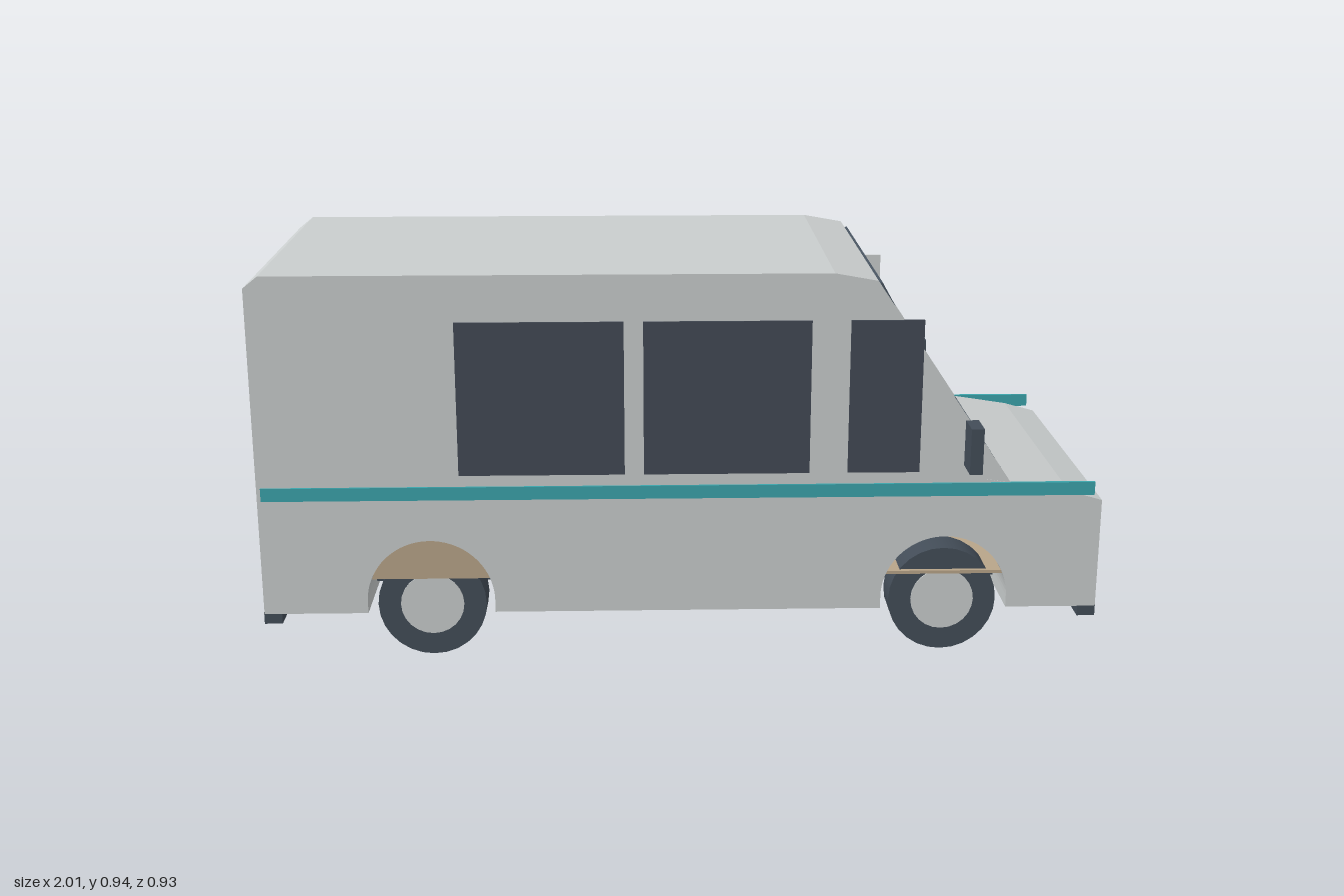
import * as THREE from 'three';

const mat = (name, color) => {
  const m = new THREE.MeshStandardMaterial({ color });
  m.name = name;
  return m;
};

export function createModel() {
  const paint = mat('light grey paint', 0xcacece);
  const dark = mat('dark trim', 0x434d58);
  const glass = mat('dark glass', 0x434a55);
  const screenGlass = mat('windscreen glass', 0x47535f);
  const teal = mat('teal stripe', 0x3ba4ab);
  const grey = mat('warm grey', 0x747274);
  const tan = mat('tan liner', 0xb9a58a);
  const red = mat('red lamp', 0xb52a2a);
  const cheekPaint = paint.clone();
  cheekPaint.name = 'two sided grey paint';
  cheekPaint.side = THREE.DoubleSide;

  const van = new THREE.Group();
  van.name = 'deliveryVan';
  const add = (name, geometry, material, x = 0, y = 0, z = 0) => {
    const mesh = new THREE.Mesh(geometry, material);
    mesh.name = name;
    mesh.position.set(x, y, z);
    van.add(mesh);
    return mesh;
  };
  // Box given by its lower and upper limits on each axis
  const box = (name, material, x0, x1, y0, y1, z0, z1) =>
    add(name, new THREE.BoxGeometry(x1 - x0, y1 - y0, z1 - z0), material,
      (x0 + x1) / 2, (y0 + y1) / 2, (z0 + z1) / 2);
  const extrude = (shape, halfDepth) =>
    new THREE.ExtrudeGeometry(shape, { depth: halfDepth * 2, bevelEnabled: false, curveSegments: 20 })
      .translate(0, 0, -halfDepth);

  const W = 0.385, floorY = 0.115, archY = 0.145, archR = 0.152;
  const axles = [-0.6, 0.63];

  // Body side profile with open wheel arches
  const side = new THREE.Shape();
  side.moveTo(-1, floorY);
  for (const x of axles) {
    side.lineTo(x - archR, floorY);
    side.lineTo(x - archR, archY);
    side.absarc(x, archY, archR, Math.PI, 0, true);
    side.lineTo(x + archR, floorY);
  }
  for (const [x, y] of [[1, floorY], [1, 0.385], [0.92, 0.408], [0.78, 0.43], [0.72, 0.44],
    [0.45, 0.92], [0.35, 0.938], [-0.965, 0.938], [-1, 0.91]]) side.lineTo(x, y);
  side.closePath();
  add('body', extrude(side, W), paint);

  // Windscreen laid on the sloping front
  const slope = Math.atan2(0.27, 0.48);
  const screen = add('windscreen', new THREE.BoxGeometry(0.008, 0.522, 0.714), screenGlass, 0.587, 0.682, 0);
  screen.rotation.z = slope;
  box('wiperCowl', dark, 0.755, 0.775, 0.424, 0.437, -0.35, 0.35);

  const cheek = new THREE.Shape([[0.45, 0.92], [0.72, 0.44], [0.78, 0.43]].map(p => new THREE.Vector2(...p)));

  // Parts repeated on both sides
  for (const s of [1, -1]) {
    const sideBox = (name, m, x0, x1, y0, y1, a, b) =>
      box(name, m, x0, x1, y0, y1, Math.min(s * a, s * b), Math.max(s * a, s * b));
    for (const [x0, x1] of [[-0.525, -0.135], [-0.09, 0.3], [0.39, 0.56]])
      sideBox(s > 0 ? 'sideWindow' : 'blankSidePanel', s > 0 ? glass : paint, x0, x1, 0.46, 0.828, 0.382, 0.389);
    add('windscreenCheek', new THREE.ShapeGeometry(cheek), cheekPaint, 0, 0, s * (W - 0.001));
    sideBox('stripe', teal, -0.99, 0.98, 0.4, 0.432, 0.381, 0.39);
    sideBox('mirror', dark, 0.665, 0.695, 0.477, 0.587, 0.39, 0.465);
    sideBox('mirrorArm', dark, 0.673, 0.687, 0.52, 0.54, 0.375, 0.395);
    sideBox('tailLamp', red, -1.004, -0.998, 0.265, 0.48, 0.32, 0.365);

    for (const x of axles) {
      // Tyre with a pale hub on both faces
      const tyre = add('tyre', new THREE.CylinderGeometry(0.13, 0.13, 0.085, 28), dark, x, 0.13, s * 0.322);
      tyre.rotation.x = Math.PI / 2;
      const hub = add('hub', new THREE.CylinderGeometry(0.076, 0.076, 0.091, 24), paint, x, 0.13, s * 0.322);
      hub.rotation.x = Math.PI / 2;
      sideBox('leafSpring', dark, x - 0.16, x + 0.16, 0.133, 0.15, 0.19, 0.22);
    }
  }

  for (const x of axles) {
    const axle = add('axle', new THREE.CylinderGeometry(0.018, 0.018, 0.58, 10), dark, x, 0.13, 0);
    axle.rotation.x = Math.PI / 2;
  }

  // Arch liners: filled cap at the rear, thin shelf at the front
  const cap = new THREE.Shape();
  const a = Math.asin((0.198 - archY) / archR);
  cap.absarc(axles[0], archY, archR - 0.001, a, Math.PI - a, false);
  cap.closePath();
  add('rearArchLiner', extrude(cap, 0.375), tan);
  box('frontArchShelf', tan, 0.488, 0.772, 0.198, 0.206, -0.375, 0.375);

  // Door frame on the right side
  for (const x of [0, 0.32]) box('doorPost', dark, x - 0.012, x + 0.012, 0.13, 0.88, -0.392, -0.384);
  box('doorHeader', dark, -0.012, 0.332, 0.862, 0.88, -0.392, -0.384);
  box('fuelCap', dark, -0.83, -0.78, 0.245, 0.298, -0.402, -0.38);

  // Front, rear and underside fittings
  box('grille', grey, 0.997, 1.002, 0.295, 0.378, -0.23, 0.23);
  box('rearWindow', glass, -1.003, -0.997, 0.46, 0.77, -0.295, 0.295);
  for (const s of [1, -1])
    box('bumper', dark, s > 0 ? 0.96 : -1.003, s > 0 ? 1.003 : -0.96, 0.086, 0.116, -0.375, 0.375);
  box('underfloorTank', grey, -0.31, -0.055, 0.024, 0.104, -0.128, 0.128);

  return van;
}
